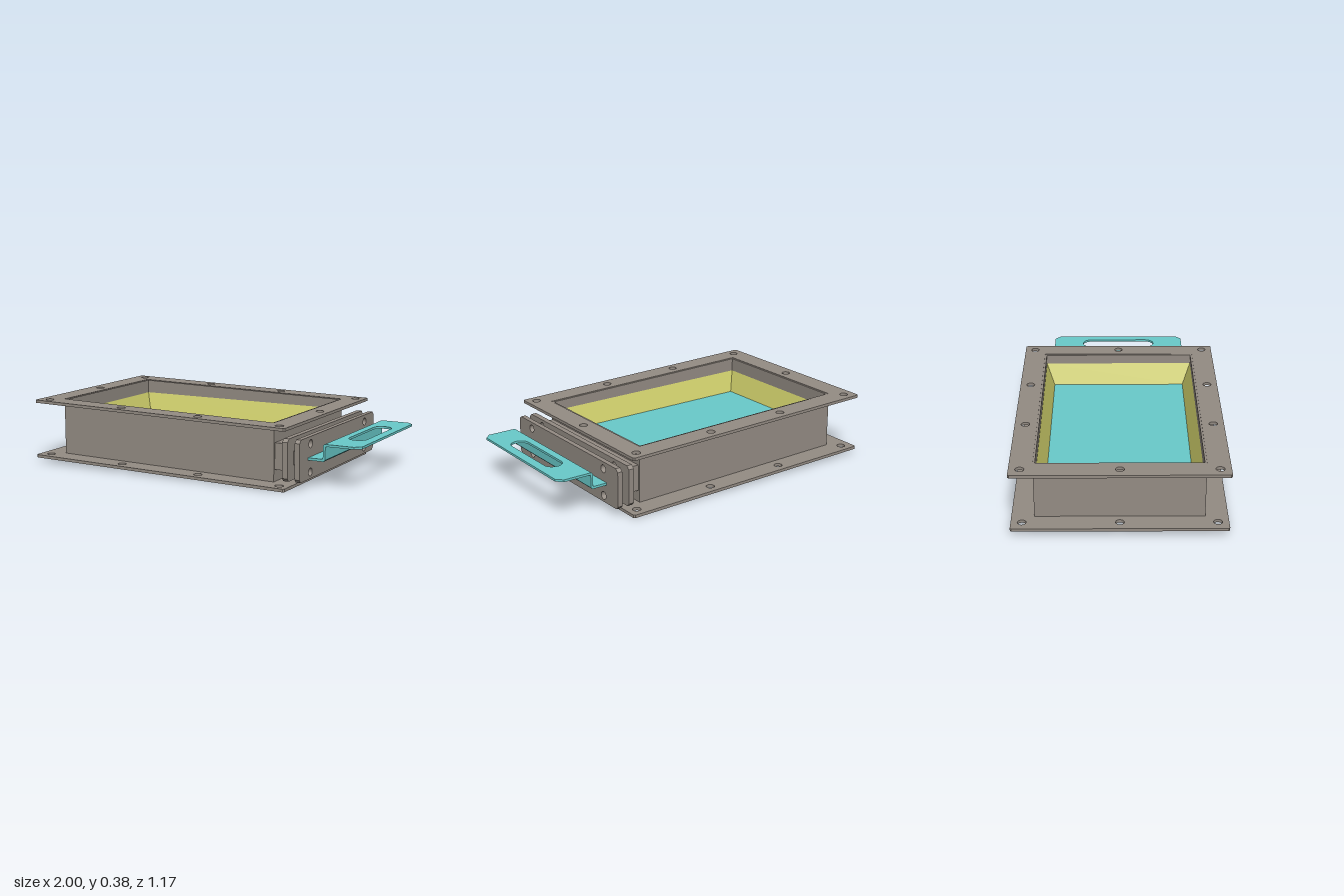
import * as THREE from 'three';

const SLOPE = 0.0175; // fall of the flanges towards the gate side

const steel = new THREE.MeshStandardMaterial({ color: 0x948c84 });
steel.name = 'warm grey steel';
const teal = new THREE.MeshStandardMaterial({ color: 0x69caca });
teal.name = 'teal gate';
const yellow = new THREE.MeshStandardMaterial({ color: 0xcccc69, side: THREE.DoubleSide });
yellow.name = 'yellow liner';

// Rectangle with cut corners, as a Shape or a hole Path
function rect(Type, x0, x1, y0, y1, cut = 0) {
  const p = [[x0 + cut, y0], [x1 - cut, y0], [x1, y0 + cut], [x1, y1 - cut],
    [x1 - cut, y1], [x0 + cut, y1], [x0, y1 - cut], [x0, y0 + cut]];
  const pts = cut ? p : [[x0, y0], [x1, y0], [x1, y1], [x0, y1]];
  return new Type(pts.map(([x, y]) => new THREE.Vector2(x, y)));
}

function roundHole(x, y, r) {
  return new THREE.Path().absarc(x, y, r, 0, Math.PI * 2, true);
}

// Slot with rounded ends, long along x or y
function slotHole(x, y, lx, ly) {
  const path = new THREE.Path();
  const r = Math.min(lx, ly) / 2;
  if (lx > ly) {
    path.absarc(x + lx / 2 - r, y, r, -Math.PI / 2, Math.PI / 2, false);
    path.absarc(x - lx / 2 + r, y, r, Math.PI / 2, Math.PI * 1.5, false);
  } else {
    path.absarc(x, y + ly / 2 - r, r, 0, Math.PI, false);
    path.absarc(x, y - ly / 2 + r, r, Math.PI, Math.PI * 2, false);
  }
  path.closePath();
  return path;
}

// Shape laid flat and raised from y0 to y1
function slab(shape, holes, y0, y1) {
  shape.holes.push(...holes);
  const g = new THREE.ExtrudeGeometry(shape, { depth: y1 - y0, bevelEnabled: false, curveSegments: 12 });
  return g.rotateX(-Math.PI / 2).translate(0, y0, 0);
}

// Slant a geometry so that its height follows x
function slant(g) {
  const p = g.attributes.position;
  for (let i = 0; i < p.count; i++) p.setY(i, p.getY(i) - SLOPE * p.getX(i));
  g.computeVertexNormals();
  return g;
}

export function createModel() {
  const model = new THREE.Group();
  const add = (name, geometry, material) => {
    const mesh = new THREE.Mesh(geometry, material);
    mesh.name = name;
    model.add(mesh);
    return mesh;
  };
  const box = (name, x0, x1, y0, y1, halfZ, material) => {
    const g = new THREE.BoxGeometry(x1 - x0, y1 - y0, halfZ * 2);
    add(name, g.translate((x0 + x1) / 2, (y0 + y1) / 2, 0), material);
  };

  // Bolted flanges above and below the body
  for (const [name, y0, y1] of [['topFlange', 0.341, 0.358], ['bottomFlange', 0.0112, 0.0285]]) {
    const holes = [rect(THREE.Path, -0.874, 0.515, -0.46, 0.46)];
    for (const z of [-0.525, 0.525]) {
      for (const x of [-0.935, -0.43, 0.075, 0.58]) holes.push(roundHole(x, z, 0.024));
    }
    for (const x of [-0.935, 0.58]) holes.push(roundHole(x, 0, 0.024));
    add(name, slant(slab(rect(THREE.Shape, -1, 0.637, -0.585, 0.585, 0.008), holes, y0, y1)), steel);
  }

  // Body walls
  const bore = rect(THREE.Path, -0.862, 0.503, -0.449, 0.449);
  add('bodyWalls', slant(slab(rect(THREE.Shape, -0.875, 0.516, -0.461, 0.461), [bore], 0.014, 0.355)), steel);

  // Ledge carrying the gate, with slots around it
  const ledgeHoles = [rect(THREE.Path, -0.805, 0.445, -0.385, 0.385)];
  for (const z of [-0.42, 0.42]) {
    for (const x of [-0.55, 0.1]) ledgeHoles.push(slotHole(x, z, 0.08, 0.022));
  }
  for (const z of [-0.35, 0, 0.35]) ledgeHoles.push(slotHole(-0.833, z, 0.022, 0.08));
  add('gateLedge', slab(rect(THREE.Shape, -0.865, 0.506, -0.452, 0.452), ledgeHoles, 0.136, 0.15), steel);

  // Sloping liner between walls and gate
  const ring = (x0, x1, z, y) => [[x0, y, z], [x1, y, z], [x1, y, -z], [x0, y, -z]];
  const upper = ring(-0.862, 0.503, 0.449, 0.29);
  const lower = ring(-0.815, 0.455, 0.402, 0.165);
  const linerPoints = [];
  for (let i = 0; i < 4; i++) {
    const j = (i + 1) % 4;
    for (const p of [lower[i], upper[j], upper[i], lower[i], lower[j], upper[j]]) linerPoints.push(...p);
  }
  const liner = new THREE.BufferGeometry();
  liner.setAttribute('position', new THREE.Float32BufferAttribute(linerPoints, 3));
  liner.computeVertexNormals();
  add('liner', liner, yellow);

  // Gate housing, gasket strip and two bolted end plates
  box('gateHousing', 0.51, 0.6, 0.087, 0.237, 0.45, steel);
  box('gasketStrip', 0.625, 0.675, 0.125, 0.2, 0.45, steel);
  for (const [name, x0, x1] of [['innerEndPlate', 0.597, 0.629], ['outerEndPlate', 0.671, 0.7]]) {
    const shape = rect(THREE.Shape, -0.525, 0.525, 0.043, 0.278, 0.018);
    for (const z of [-0.383, 0.383]) {
      for (const y of [0.08, 0.237]) shape.holes.push(roundHole(z, y, 0.023));
    }
    const g = new THREE.ExtrudeGeometry(shape, { depth: x1 - x0, bevelEnabled: false, curveSegments: 12 });
    add(name, g.rotateY(Math.PI / 2).translate(x0, 0, 0), steel);
  }

  // Sliding gate with its bent-up edge
  const bend = [[-0.83, 0.151], [0.79, 0.151], [0.8, 0.161], [0.8, 0.234], [0.805, 0.236], [0.805, 0.248],
    [0.796, 0.248], [0.786, 0.238], [0.786, 0.17], [0.781, 0.165], [-0.83, 0.165]];
  const profile = new THREE.Shape(bend.map(([x, y]) => new THREE.Vector2(x, y)));
  const gate = new THREE.ExtrudeGeometry(profile, { depth: 0.83, bevelEnabled: false });
  add('slidingGate', gate.translate(0, 0, -0.415), teal);

  // Handle with grip slot
  const outline = [[0.802, -0.415], [0.965, -0.415], [1, -0.38], [1, 0.38], [0.965, 0.415], [0.802, 0.415]];
  const handle = new THREE.Shape(outline.map(([x, y]) => new THREE.Vector2(x, y)));
  add('handle', slab(handle, [slotHole(0.893, 0, 0.106, 0.46)], 0.235, 0.248), teal);

  return model;
}
